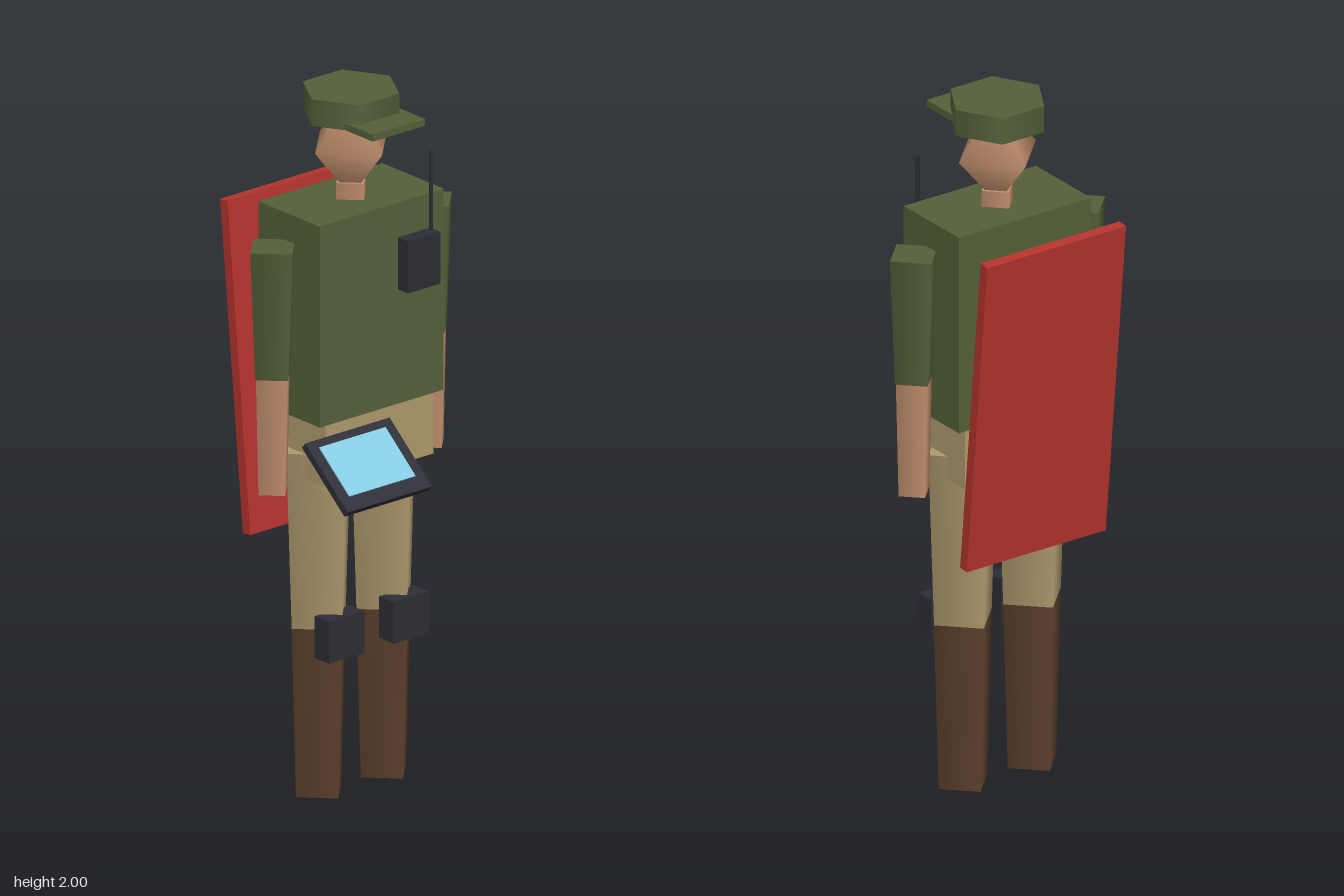
import * as THREE from 'three';

export function createModel() {
  const model = new THREE.Group();
  model.name = 'fieldWorker';

  const mat = (name, color) => {
    const m = new THREE.MeshStandardMaterial({ color });
    m.name = name;
    return m;
  };
  const green = mat('olive cloth', 0x556039);
  const skin = mat('skin', 0xc4916f);
  const tan = mat('tan trousers', 0xb09b6e);
  const brown = mat('brown boots', 0x5e412d);
  const red = mat('red board', 0xb5342d);
  const dark = mat('dark gear', 0x2d2d36);
  const blue = mat('blue screen', 0x86cbe2);

  const CX = 0.005, CZ = -0.07; // body axis

  const add = (name, geometry, material, x, y, z) => {
    const mesh = new THREE.Mesh(geometry, material);
    mesh.name = name;
    mesh.position.set(x, y, z);
    model.add(mesh);
    return mesh;
  };
  const box = (name, material, w, h, d, x, y, z) =>
    add(name, new THREE.BoxGeometry(w, h, d), material, x, y, z);
  // Tapered prism between two heights, corners on the axes
  const limb = (name, material, rTop, rBottom, yTop, yBottom, x, z = CZ, sides = 4) =>
    add(name, new THREE.CylinderGeometry(rTop, rBottom, yTop - yBottom, sides),
      material, x, (yTop + yBottom) / 2, z);

  // Trunk
  box('torso', green, 0.44, 0.58, 0.254, CX, 1.4, CZ);
  box('hips', tan, 0.385, 0.18, 0.235, CX, 1.02, CZ);

  // Head and neck
  limb('neck', skin, 0.053, 0.053, 1.737, 1.67, CX);
  add('head', new THREE.SphereGeometry(0.128, 4, 2), skin, CX, 1.84, CZ).scale.y = 1.2;

  // Cap
  limb('capCrown', green, 0.138, 0.138, 2, 1.923, CX, CZ, 6).rotation.y = Math.PI / 6;
  box('capBrim', green, 0.185, 0.02, 0.117, CX, 1.934, 0.069);

  // Arms, legs and knee pads
  for (const [side, s] of [['left', 1], ['right', -1]]) {
    const armX = CX + s * 0.278, legX = CX + s * 0.115;
    limb(side + 'Sleeve', green, 0.08, 0.063, 1.61, 1.24, armX);
    limb(side + 'Forearm', skin, 0.06, 0.051, 1.24, 0.905, armX);
    limb(side + 'TrouserLeg', tan, 0.115, 0.096, 1.0, 0.49, legX);
    limb(side + 'Boot', brown, 0.096, 0.081, 0.49, 0, legX);
    box(side + 'KneePad', dark, 0.127, 0.12, 0.06, legX, 0.475, 0.016);
  }

  // Chest radio
  box('radio', dark, 0.114, 0.15, 0.045, 0.12, 1.515, 0.0765);
  limb('radioAntenna', dark, 0.007, 0.007, 1.82, 1.58, 0.168, 0.071);

  // Tilted tablet with a thin screen plate
  const tablet = new THREE.Group();
  tablet.name = 'tablet';
  tablet.position.set(-0.213, 1.052, 0.25);
  tablet.rotation.x = 0.7;
  const tabletCase = box('tabletCase', dark, 0.3, 0.021, 0.23, 0, 0, 0);
  const screen = box('tabletScreen', blue, 0.235, 0.005, 0.163, 0, 0.0115, -0.009);
  tablet.add(tabletCase, screen);
  model.add(tablet);

  // Board leaning away behind the back
  box('backBoard', red, 0.462, 0.942, 0.031, CX, 1.19, -0.28).rotation.x = -0.1;

  return model;
}
